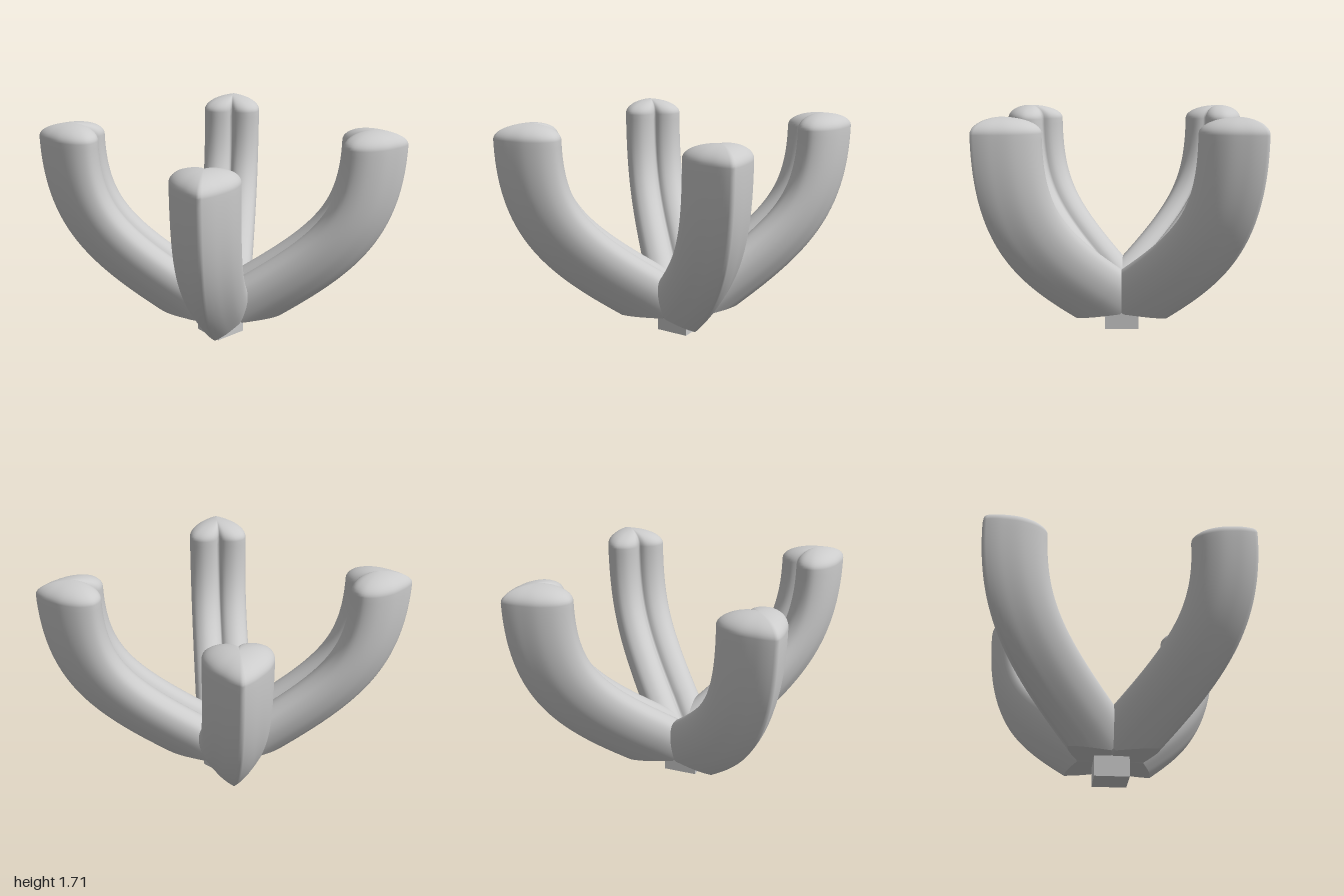
import * as THREE from 'three';

const V2 = (x, y) => new THREE.Vector2(x, y);

// Heart cross-section: x = depth from the tip, y = sideways offset
function heartLoop() {
  const half = new THREE.SplineCurve([
    V2(0, 0), V2(0.035, 0.05), V2(0.09, 0.106), V2(0.2, 0.19), V2(0.32, 0.233), V2(0.42, 0.222),
    V2(0.47, 0.165), V2(0.482, 0.105), V2(0.462, 0.04), V2(0.415, 0),
  ]).getSpacedPoints(36);
  const other = half.slice(1, -1).reverse().map((p) => V2(p.x, -p.y));
  return [...half, ...other];
}

// Path of the heart's tip in the arm's plane: x = distance outwards, y = height
const ridge = new THREE.CubicBezierCurve(V2(0.477, 0.15), V2(1.057, 0.541), V2(1.4, 0.85), V2(1.4, 1.6));
const FLOOR = 0.16, FLOOR_SLOPE = 0.021, STEPS = 40, DOME = 12;

function makeGeometry(positions, index) {
  const g = new THREE.BufferGeometry();
  g.setAttribute('position', new THREE.Float32BufferAttribute(positions, 3));
  g.setIndex(index);
  g.computeVertexNormals();
  return g;
}

function armGeometries() {
  const loop = heartLoop(), n = loop.length;
  const rows = [];
  const place = (t, p) => {
    const o = ridge.getPoint(t), d = ridge.getTangent(t);
    return new THREE.Vector3(o.x - d.y * p.x, o.y + d.x * p.x, p.y);
  };

  // Root row: run each fibre back to the mitre with its neighbours or to the underside
  const d0 = ridge.getTangent(0);
  const onFloor = [];
  rows.push(loop.map((p, j) => {
    const q = place(0, p);
    const toMitre = (Math.abs(q.z) - q.x) / d0.x;
    const toFloor = (FLOOR - FLOOR_SLOPE * q.x - q.y) / (d0.y + FLOOR_SLOPE * d0.x);
    onFloor[j] = toFloor >= toMitre;
    const s = Math.min(Math.max(toMitre, toFloor), -0.0005);
    return q.add(new THREE.Vector3(d0.x * s, d0.y * s, 0));
  }));

  // Swept arm
  for (let i = 0; i <= STEPS; i++) rows.push(loop.map((p) => place(i / STEPS, p)));

  // Domed end
  const end = rows[rows.length - 1];
  const centre = place(1, V2(0.26, 0));
  for (let k = 1; k <= DOME; k++) {
    const a = (k / DOME) * Math.PI / 2;
    rows.push(end.map((q) => {
      const v = centre.clone().lerp(q, Math.cos(a));
      v.y += 0.11 * Math.sin(a);
      return v;
    }));
  }

  const index = [];
  for (let i = 0; i < rows.length - 1; i++) {
    for (let j = 0; j < n; j++) {
      const a = i * n + j, b = i * n + (j + 1) % n;
      index.push(a, a + n, b, b, a + n, b + n);
    }
  }
  const arm = makeGeometry(rows.flat().flatMap((v) => v.toArray()), index);

  // Flat underside, fanned from the centre
  const under = [];
  for (let j = 0; j < n; j++) {
    const k = (j + 1) % n;
    if (onFloor[j] || onFloor[k]) under.push(n, j, k);
  }
  const underside = makeGeometry([...rows[0].flatMap((v) => v.toArray()), 0, FLOOR, 0], under);
  return { arm, underside };
}

export function createModel() {
  const model = new THREE.Group();
  model.name = 'fourArmHolder';
  const material = new THREE.MeshStandardMaterial({ color: 0xcccccc });
  const { arm, underside } = armGeometries();

  // Four arms along the diagonals
  for (let k = 0; k < 4; k++) {
    const group = new THREE.Group();
    group.name = 'arm' + (k + 1);
    group.rotation.y = Math.PI / 4 + k * Math.PI / 2;
    const armMesh = new THREE.Mesh(arm, material);
    armMesh.name = 'curvedArm';
    const underMesh = new THREE.Mesh(underside, material);
    underMesh.name = 'armUnderside';
    group.add(armMesh, underMesh);
    model.add(group);
  }

  // Square peg under the hub
  const peg = new THREE.Mesh(new THREE.BoxGeometry(0.264, 0.17, 0.264), material);
  peg.name = 'basePeg';
  peg.position.y = 0.085;
  model.add(peg);

  return model;
}
